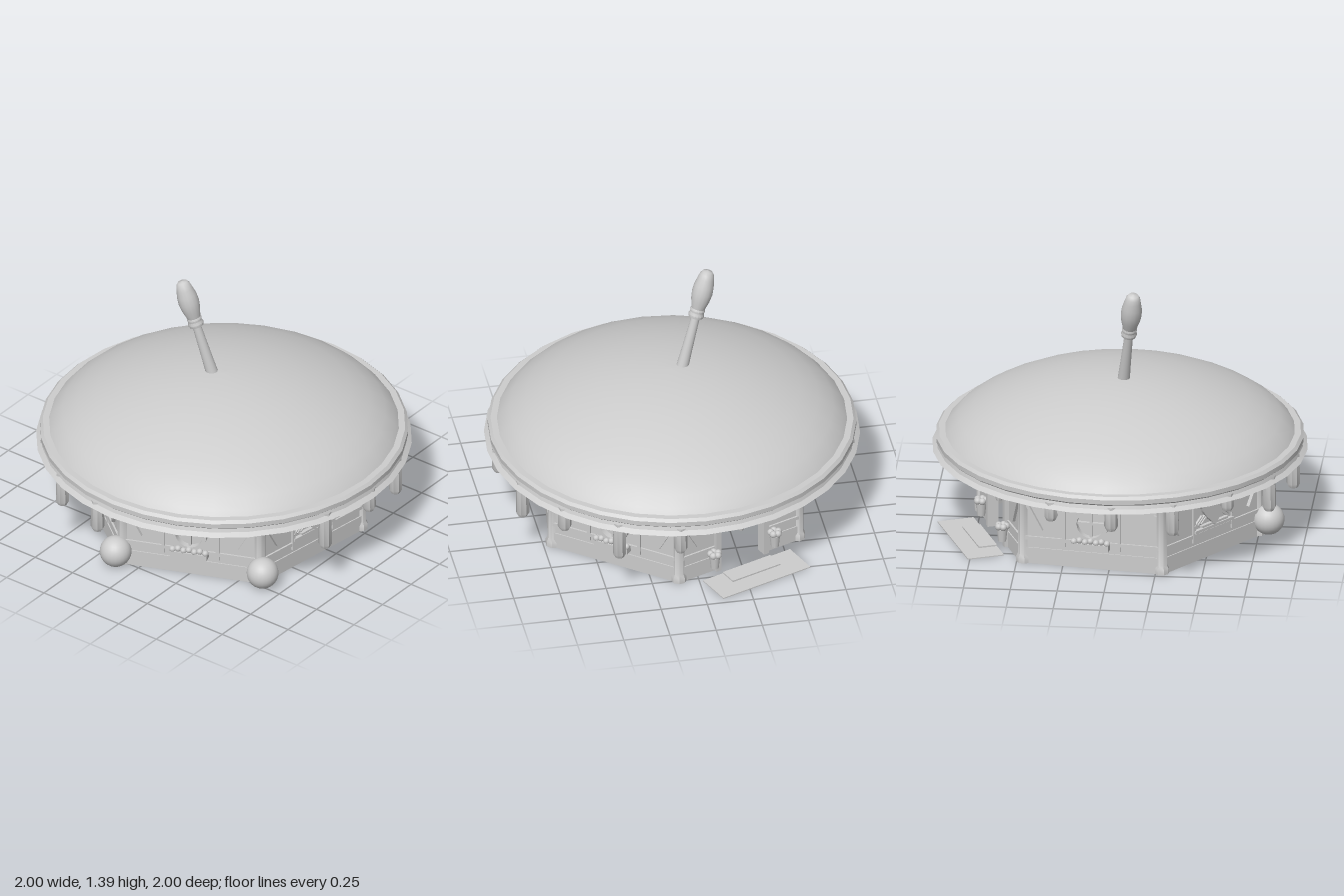
import * as THREE from 'three';
import { toCreasedNormals } from 'three/addons/utils/BufferGeometryUtils.js';

const clay = new THREE.MeshStandardMaterial({ color: 0xcccccc, side: THREE.DoubleSide });
clay.name = 'plain grey';

const CORNER_R = 0.755;
const APOTHEM = CORNER_R * Math.cos(Math.PI / 6);
const rad = THREE.MathUtils.degToRad;

function add(parent, name, geometry, x = 0, y = 0, z = 0, rz = 0) {
  const mesh = new THREE.Mesh(geometry, clay);
  mesh.name = name;
  mesh.position.set(x, y, z);
  mesh.rotation.z = rz;
  parent.add(mesh);
  return mesh;
}
const box = (parent, name, w, h, d, x, y, z, rz = 0) =>
  add(parent, name, new THREE.BoxGeometry(w, h, d), x, y, z, rz);
const lathe = (pts, n) => new THREE.LatheGeometry(pts.map(p => new THREE.Vector2(...p)), n);

// Group turned so that its local +z points outward at the given angle
function facing(parent, name, deg) {
  const g = new THREE.Group();
  g.name = name;
  g.rotation.y = rad(deg);
  parent.add(g);
  return g;
}

function heartGeometry(s) {
  const h = new THREE.Shape();
  h.moveTo(0, -s);
  h.bezierCurveTo(-0.4 * s, -0.55 * s, -s, -0.15 * s, -s, 0.35 * s);
  h.bezierCurveTo(-s, 0.95 * s, -0.2 * s, 1.0 * s, 0, 0.5 * s);
  h.bezierCurveTo(0.2 * s, 1.0 * s, s, 0.95 * s, s, 0.35 * s);
  h.bezierCurveTo(s, -0.15 * s, 0.4 * s, -0.55 * s, 0, -s);
  return new THREE.ExtrudeGeometry(h, { depth: 0.018, bevelEnabled: false, curveSegments: 8 });
}

// Slats, braces and small hanging beads shared by the plain walls
function wallTrim(g) {
  const z = APOTHEM + 0.015;
  box(g, 'wallPanel', CORNER_R, 0.49, 0.03, 0, 0.245, APOTHEM);
  box(g, 'skirting', CORNER_R, 0.09, 0.012, 0, 0.045, z);
  box(g, 'rail', CORNER_R, 0.02, 0.02, 0, 0.145, z);
  for (const s of [-1, 1]) {
    box(g, 'slat', 0.018, 0.37, 0.025, s * 0.15, 0.295, z);
    box(g, 'brace', 0.016, 0.16, 0.02, s * 0.31, 0.265, z + 0.012, -s * 0.5);
    for (let i = 0; i < 3; i++)
      add(g, 'bead', new THREE.OctahedronGeometry(0.014, 1), s * (0.25 + 0.015 * (i % 2)), 0.42 - 0.035 * i, z + 0.008);
  }
}

function heartWindow(g) {
  const z = APOTHEM + 0.02;
  for (const y of [0.17, 0.43]) box(g, 'windowFrameBar', 0.3, 0.016, 0.03, 0, y, z);
  add(g, 'heart', heartGeometry(0.1), 0, 0.275, z);
  box(g, 'arrowBar', 0.2, 0.012, 0.02, 0, 0.19, z + 0.008);
  for (const s of [-1, 1]) {
    box(g, 'heartArm', 0.012, 0.09, 0.02, s * 0.115, 0.32, z + 0.008, -s * 0.75);
    for (let i = 0; i < 3; i++)
      box(g, 'lattice', 0.008, 0.075, 0.012, s * (0.07 + 0.025 * i), 0.225, z + 0.004, s * 0.9);
  }
}

function roundWindow(g) {
  const z = APOTHEM + 0.022;
  const ring = new THREE.Shape().absarc(0, 0, 0.095, 0, Math.PI * 2);
  ring.holes.push(new THREE.Path().absarc(0, 0, 0.075, 0, Math.PI * 2, true));
  add(g, 'windowRing', toCreasedNormals(
    new THREE.ExtrudeGeometry(ring, { depth: 0.04, bevelEnabled: false, curveSegments: 20 }), 0.6), 0, 0.26, z - 0.01);
  add(g, 'windowPane', new THREE.CircleGeometry(0.08, 24), 0, 0.26, z - 0.004);
  box(g, 'windowBar', 0.014, 0.15, 0.02, 0, 0.26, z + 0.006);
  box(g, 'windowBar', 0.15, 0.014, 0.02, 0, 0.26, z + 0.006);
  // Flower box with leafy tufts
  box(g, 'flowerBox', 0.2, 0.035, 0.05, 0, 0.135, z + 0.02);
  for (let i = 0; i < 7; i++)
    add(g, 'flower', new THREE.IcosahedronGeometry(0.018, 1), -0.09 + 0.03 * i, 0.16 + 0.008 * (i % 2), z + 0.03);
}

function doorway(g) {
  const z = APOTHEM;
  const side = (CORNER_R - 0.28) / 2;
  box(g, 'doorHeader', 0.28, 0.1, 0.03, 0, 0.44, z);
  for (const s of [-1, 1]) {
    const x = s * (0.14 + side / 2);
    box(g, 'doorSidePanel', side, 0.49, 0.03, x, 0.245, z);
    box(g, 'doorSkirting', side, 0.09, 0.012, x, 0.045, z + 0.015);
    box(g, 'doorRail', side, 0.02, 0.02, x, 0.145, z + 0.015);
    box(g, 'doorJamb', 0.03, 0.4, 0.06, s * 0.15, 0.2, z + 0.01);
    box(g, 'brace', 0.016, 0.16, 0.02, s * 0.31, 0.265, z + 0.02, -s * 0.5);
    // Planter beside the opening
    add(g, 'planter', new THREE.CylinderGeometry(0.03, 0.022, 0.07, 10), s * 0.19, 0.085, z + 0.06);
    for (let i = 0; i < 5; i++)
      add(g, 'planterLeaf', new THREE.IcosahedronGeometry(0.02, 1),
        s * 0.19 + 0.022 * Math.cos(i * 1.26), 0.135, z + 0.06 + 0.022 * Math.sin(i * 1.26));
    for (let i = 0; i < 3; i++)
      add(g, 'bead', new THREE.OctahedronGeometry(0.015, 1), s * (0.22 + 0.02 * i), 0.42 - 0.035 * i, z + 0.025);
  }
  box(g, 'doorLintel', 0.33, 0.03, 0.06, 0, 0.395, z + 0.01);
  box(g, 'mat', 0.55, 0.006, 0.2, 0, 0.003, 0.83);
  box(g, 'doorStep', 0.3, 0.012, 0.1, 0, 0.008, 0.78);
}

export function createModel() {
  const model = new THREE.Group();
  model.name = 'domeHouse';

  // Hexagonal walls
  for (const deg of [22, 142, 262, 82, 322, 202]) {
    const g = facing(model, 'wall', deg);
    if (deg === 202) { doorway(g); continue; }
    wallTrim(g);
    if (deg === 82 || deg === 322) heartWindow(g);
    else roundWindow(g);
  }

  // Corner posts with flared feet
  const postShape = toCreasedNormals(lathe(
    [[0, 0], [0.042, 0], [0.042, 0.03], [0.032, 0.05], [0.032, 0.42], [0.042, 0.44], [0.042, 0.5], [0, 0.5]], 8), 0.5);
  for (let i = 0; i < 6; i++) {
    const g = facing(model, 'cornerPost', -8 + 60 * i);
    add(g, 'post', postShape, 0, 0, CORNER_R - 0.005);
    // Round bushes at the two front corners
    if (i < 2) add(g, 'ball', new THREE.SphereGeometry(0.085, 24, 16), 0, 0.09, 0.81);
  }

  // Domed roof
  add(model, 'dome', lathe([[0.935, 0.53], [0.91, 0.563], [0.86, 0.612], [0.78, 0.665], [0.68, 0.715],
    [0.55, 0.765], [0.4, 0.81], [0.24, 0.84], [0.1, 0.853], [0, 0.855]], 32));

  // Rim bands, each with its own crisp edge, and the overhang underneath
  const rim = [[0.66, 0.475], [0.94, 0.465], [1.0, 0.447], [0.975, 0.465], [0.968, 0.485],
    [0.98, 0.495], [0.98, 0.52], [0.965, 0.535], [0.93, 0.535]];
  for (let i = 0; i < rim.length - 1; i++)
    add(model, i ? 'rimBand' : 'overhang', lathe([rim[i], rim[i + 1]], 32));

  // Icing drips round the rim, given by the height of each lower end
  const drips = [0.28, 0.42, 0.42, 0.42, 0.245, 0.33, 0.25, 0.325, 0.25,
    0.31, 0.40, 0.42, 0.40, 0.36, 0.33, 0.29, 0.37, 0.27];
  drips.forEach((low, i) => {
    const r = low > 0.39 ? 0.022 : 0.037;
    const geo = lathe([[0, low], [r * 0.65, low + 0.006], [r, low + 0.03], [r * 0.9, 0.475]], 8);
    add(facing(model, 'drip', -8 + 20 * i), 'icingDrip', toCreasedNormals(geo, 0.6), 0, 0, 0.945);
  });

  // Leaning stick with a turned grip
  const base = new THREE.Vector3(-0.055, 0.82, 0.022);
  const axis = new THREE.Vector3(-0.212, 1.39, 0.09).sub(base);
  const stick = new THREE.Group();
  stick.name = 'handle';
  stick.position.copy(base);
  stick.quaternion.setFromUnitVectors(new THREE.Vector3(0, 1, 0), axis.clone().normalize());
  add(stick, 'handleShaft', lathe([[0.034, 0], [0.029, 0.12], [0.023, 0.32]], 16));
  add(stick, 'handleCollar', toCreasedNormals(
    lathe([[0.02, 0.315], [0.039, 0.32], [0.043, 0.335], [0.037, 0.35], [0.041, 0.362], [0.036, 0.375]], 16), 0.7));
  add(stick, 'handleGrip', lathe([[0.036, 0.37], [0.05, 0.42], [0.056, 0.465], [0.053, 0.51],
    [0.044, 0.55], [0.038, 0.575], [0.026, 0.592], [0, 0.598]], 16));
  model.add(stick);
  return model;
}
